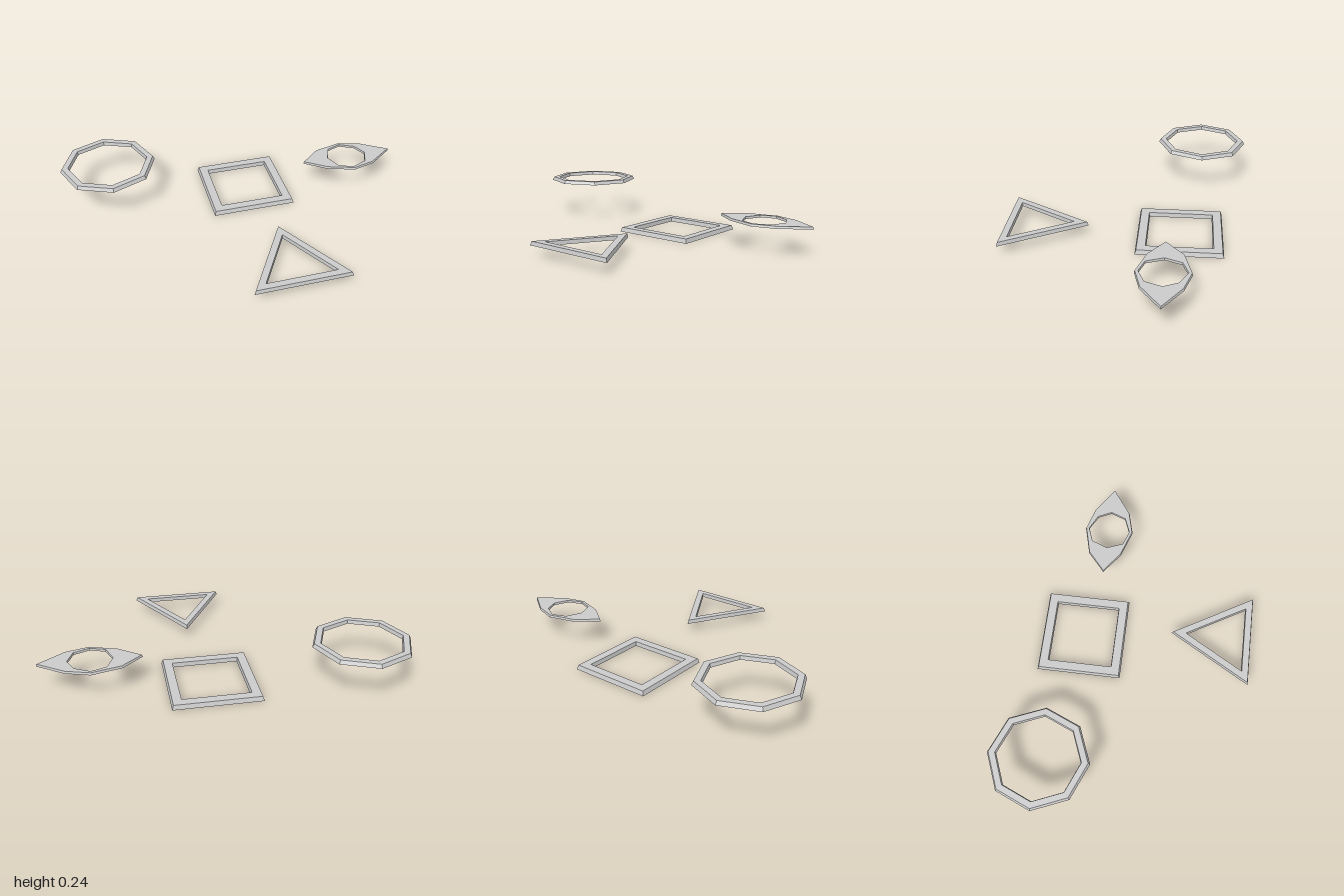
import * as THREE from 'three';

const material = new THREE.MeshStandardMaterial({ color: 0xcccccc, flatShading: true });

// Corners of a regular polygon as [x, z], starting at the back (-z) or turned by "turn"
function polygon(sides, radius, turn = 0) {
  return Array.from({ length: sides }, (_, i) => {
    const a = turn + (i / sides) * Math.PI * 2;
    return [Math.sin(a) * radius, -Math.cos(a) * radius];
  });
}

// Flat frame with slightly sloped walls, lofted through four loops around its section
function frame(name, outer, inner, x, z, y0, y1, slope) {
  const grow = (loop, d) => loop.map(([px, pz]) => {
    const k = 1 + d / Math.hypot(px, pz);
    return [px * k, pz * k];
  });
  const loops = [
    [outer, y0],
    [grow(outer, -slope), y1],
    [inner, y1],
    [grow(inner, -slope * 0.5), y0],
  ];
  const n = outer.length;
  const positions = [];
  const index = [];
  for (const [loop, y] of loops) for (const [px, pz] of loop) positions.push(px, y, pz);
  for (let l = 0; l < 4; l++) {
    const m = (l + 1) % 4;
    for (let i = 0; i < n; i++) {
      const j = (i + 1) % n;
      const a = l * n + i, b = l * n + j, c = m * n + j, d = m * n + i;
      index.push(a, d, c, a, c, b);
    }
  }
  const indexed = new THREE.BufferGeometry();
  indexed.setAttribute('position', new THREE.Float32BufferAttribute(positions, 3));
  indexed.setIndex(index);
  const geometry = indexed.toNonIndexed();
  geometry.computeVertexNormals();
  const mesh = new THREE.Mesh(geometry, material);
  mesh.name = name;
  mesh.position.set(x, 0, z);
  return mesh;
}

export function createModel() {
  const group = new THREE.Group();
  group.name = 'shapeFrames';

  // Square frame resting on the ground
  const q = Math.PI / 4;
  group.add(frame('squareFrame', polygon(4, 0.243 * Math.SQRT2, q), polygon(4, 0.187 * Math.SQRT2, q),
    0.08, -0.295, 0, 0.025, 0.011));

  // Triangular frame, apex to the back
  group.add(frame('triangleFrame', polygon(3, 0.31), polygon(3, 0.227), 0.134, 0.532, 0.06, 0.082, 0.009));

  // Eight-sided ring
  group.add(frame('octagonFrame', polygon(8, 0.277), polygon(8, 0.232), -0.722, -0.411, 0.222, 0.243, 0.01));

  // Thin eye-shaped plate with an oval hole
  const eyeOuter = [[0, -0.143], [0.133, -0.102], [0.281, 0], [0.133, 0.108],
    [0, 0.143], [-0.158, 0.09], [-0.279, 0], [-0.165, -0.1]];
  const eyeInner = [[0, -0.123], [0.085, -0.078], [0.122, 0], [0.088, 0.088],
    [0, 0.123], [-0.085, 0.094], [-0.122, 0], [-0.085, -0.092]];
  group.add(frame('eyePlate', eyeOuter, eyeInner, 0.716, -0.223, 0.15, 0.163, 0.004));

  return group;
}
